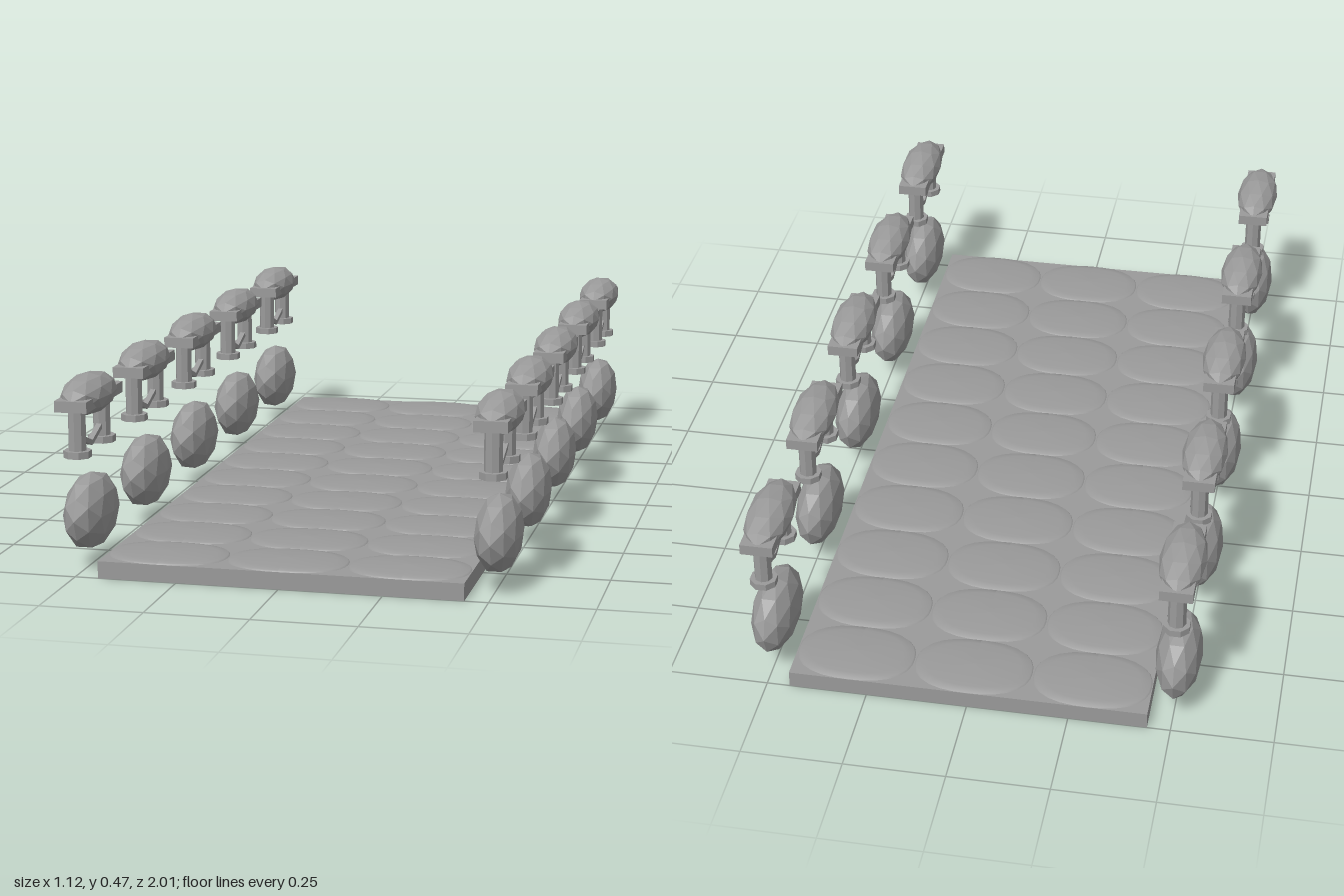
import * as THREE from 'three';

export function createModel() {
  const model = new THREE.Group();
  model.name = 'stonePath';
  const stone = new THREE.MeshStandardMaterial({ color: 0x9a9a9a });
  stone.name = 'grey stone';

  function add(parent, name, geometry, x, y, z) {
    const mesh = new THREE.Mesh(geometry, stone);
    mesh.name = name;
    mesh.position.set(x, y, z);
    parent.add(mesh);
    return mesh;
  }

  // Faceted ellipsoid used for the boulders and the post caps
  const rock = (rx, ry, rz) => {
    const g = new THREE.IcosahedronGeometry(1, 1).scale(rx, ry, rz);
    g.computeVertexNormals();
    return g;
  };

  // Path slab
  add(model, 'slab', new THREE.BoxGeometry(0.886, 0.042, 2), 0, 0.021, 0);

  // Paving stones: low domes with a slightly squared outline
  const profile = [[1, 0], [0.97, 0.005], [0.8, 0.008], [0.45, 0.0105], [0, 0.012]]
    .map(([r, y]) => new THREE.Vector2(r, y));
  const paver = new THREE.LatheGeometry(profile, 28);
  const p = paver.attributes.position;
  for (let i = 0; i < p.count; i++) {
    const x = p.getX(i), z = p.getZ(i), r = Math.hypot(x, z);
    if (r < 1e-6) continue;
    const k = Math.pow(Math.abs(x / r) ** 2.4 + Math.abs(z / r) ** 2.4, -1 / 2.4);
    p.setXYZ(i, x * k * 0.147, p.getY(i), z * k * 0.1);
  }
  paver.computeVertexNormals();
  for (let row = 0; row < 10; row++) {
    for (let col = -1; col <= 1; col++) {
      add(model, 'pavingStone', paver, col * 0.295, 0.041, -0.9 + row * 0.2);
    }
  }

  // Shared parts of the edging
  const boulder = rock(0.057, 0.095, 0.132);
  const cap = rock(0.057, 0.05, 0.132);
  const beam = new THREE.BoxGeometry(0.08, 0.027, 0.27);
  const leg = new THREE.CylinderGeometry(0.022, 0.022, 0.11, 8).toNonIndexed();
  leg.computeVertexNormals();
  const foot = new THREE.CylinderGeometry(0.034, 0.034, 0.017, 8).toNonIndexed();
  foot.rotateY(Math.PI / 8);
  foot.computeVertexNormals();
  const brace = new THREE.BoxGeometry(0.014, 0.012, 0.082);

  // Boulders with small stone benches above, along both sides
  for (const side of [-1, 1]) {
    for (let i = -2; i <= 2; i++) {
      const x = side * 0.501, z = i * 0.434;
      add(model, 'boulder', boulder, x, 0.133, z);

      const bench = new THREE.Group();
      bench.name = 'bench';
      bench.position.set(x, 0, z);
      model.add(bench);
      add(bench, 'cap', cap, 0, 0.422, 0);
      add(bench, 'beam', beam, 0, 0.413, 0);
      for (const end of [-1, 1]) {
        add(bench, 'leg', leg, 0, 0.35, end * 0.09);
        add(bench, 'foot', foot, 0, 0.2925, end * 0.09);
        add(bench, 'brace', brace, 0, 0.314, end * 0.038).rotation.x = -end * 0.35;
      }
    }
  }
  return model;
}
